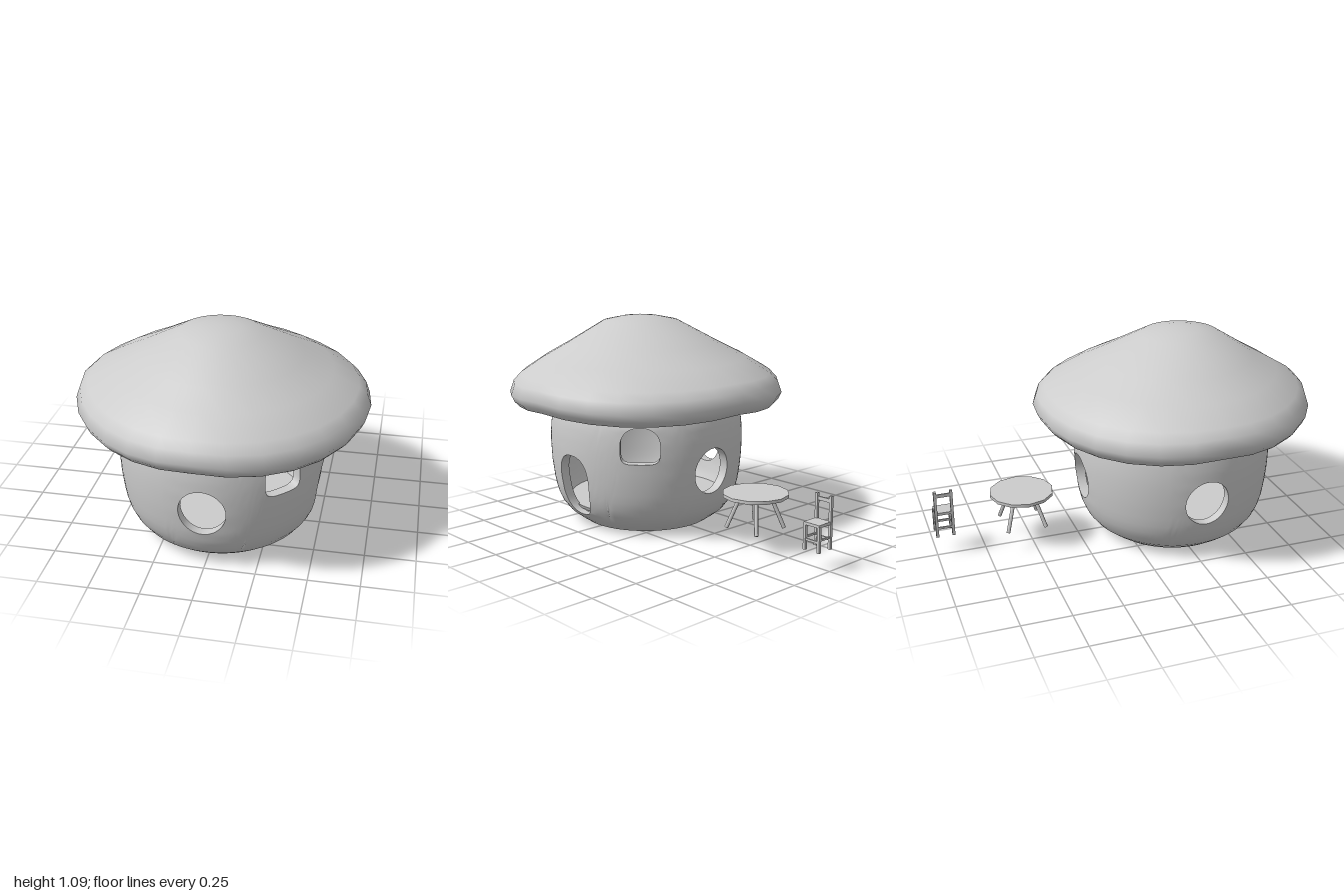
import * as THREE from 'three';
import { toCreasedNormals } from 'three/addons/utils/BufferGeometryUtils.js';

const CENTER_Z = 0.275;
const material = new THREE.MeshStandardMaterial({ color: 0xcccccc });
const { lerp, clamp } = THREE.MathUtils;

function add(parent, name, geometry, x = 0, y = 0, z = 0) {
  const mesh = new THREE.Mesh(geometry, material);
  mesh.name = name;
  mesh.position.set(x, y, z);
  parent.add(mesh);
  return mesh;
}

// Creased normals matched at a large scale, so that close vertices stay apart
function crease(geometry, angle) {
  return toCreasedNormals(geometry.scale(100, 100, 100), angle).scale(0.01, 0.01, 0.01);
}

// A straight round bar between two points
function bar(parent, name, from, to, radius) {
  const a = new THREE.Vector3(...from), b = new THREE.Vector3(...to);
  const dir = b.clone().sub(a);
  const mesh = add(parent, name, new THREE.CylinderGeometry(radius, radius, dir.length(), 8));
  mesh.position.copy(a).add(b).multiplyScalar(0.5);
  mesh.quaternion.setFromUnitVectors(new THREE.Vector3(0, 1, 0), dir.normalize());
}

// Wall profile as [height, radius]
const WALL = [[0, 0.345], [0.03, 0.388], [0.06, 0.426], [0.1, 0.458], [0.15, 0.481], [0.21, 0.497], [0.32, 0.511],
  [0.42, 0.516], [0.5, 0.514], [0.57, 0.506], [0.62, 0.491], [0.66, 0.472], [0.7, 0.448], [0.75, 0.41]];
// The pierced band lies between these heights
const LOW = 0.06, HIGH = 0.62;

function outerRadius(y) {
  let k = 1;
  while (k < WALL.length - 1 && WALL[k][0] < y) k++;
  const [y0, r0] = WALL[k - 1], [y1, r1] = WALL[k];
  return lerp(r0, r1, (y - y0) / (y1 - y0));
}
const innerRadius = (y) => outerRadius(y) - Math.min(0.05, 0.004 + y * 0.5);

const onWall = (theta, y, radiusAt) => [radiusAt(y) * Math.sin(theta), y, radiusAt(y) * Math.cos(theta)];
const quad = (out, a, b, c, d) => out.push(...a, ...b, ...c, ...a, ...c, ...d);

// Plain wall, both faces, between two angles through the given heights
function plainWall(out, from, to, columns, heights) {
  for (let i = 0; i < columns; i++) {
    const t0 = lerp(from, to, i / columns), t1 = lerp(from, to, (i + 1) / columns);
    for (let j = 0; j + 1 < heights.length; j++) {
      const corners = (f) => [onWall(t0, heights[j], f), onWall(t1, heights[j], f),
        onWall(t1, heights[j + 1], f), onWall(t0, heights[j + 1], f)];
      quad(out, ...corners(outerRadius));
      quad(out, ...corners(innerRadius).reverse());
    }
  }
}

// Openings: middle height y, half sizes a and b, squareness above and below, taper
const ROUND = { y: 0.33, a: 0.114, b: 0.12, up: 2, down: 2, taper: 0 };
const ARCH = { y: 0.49, a: 0.1, b: 0.092, up: 2.2, down: 5, taper: 0 };
const DOOR = { y: 0.243, a: 0.108, b: 0.163, up: 2.4, down: 3, taper: 0.13 };

// One eighth of the band: rings run from the opening's outline to the panel's edge
function piercedWall(out, angle, hole) {
  const N = 48, M = 8;
  const point = (i, j, radiusAt) => {
    const phi = (i % N) / N * Math.PI * 2;
    const c = Math.cos(phi), s = Math.sin(phi);
    const edgeX = clamp(Math.asin(c) * 4 / Math.PI, -1, 1);
    const edgeY = clamp(Math.asin(s) * 4 / Math.PI, -1, 1);
    const e = 2 / (s < -1e-9 ? hole.down : hole.up);
    const sy = Math.sign(s) * Math.abs(s) ** e;
    const hx = hole.a * Math.sign(c) * Math.abs(c) ** e * (1 + hole.taper * sy);
    const hy = hole.y + hole.b * sy;
    const theta = lerp(Math.asin(hx / radiusAt(hy)), Math.PI / 8 * edgeX, j / M);
    return onWall(angle + theta, lerp(hy, lerp(LOW, HIGH, (1 + edgeY) / 2), j / M), radiusAt);
  };
  for (let i = 0; i < N; i++) {
    for (let j = 0; j < M; j++) {
      const corners = (f) => [point(i, j, f), point(i, j + 1, f), point(i + 1, j + 1, f), point(i + 1, j, f)];
      quad(out, ...corners(outerRadius));
      quad(out, ...corners(innerRadius).reverse());
    }
    // Reveal through the wall's thickness
    quad(out, point(i, 0, outerRadius), point(i + 1, 0, outerRadius),
      point(i + 1, 0, innerRadius), point(i, 0, innerRadius));
  }
}

function createCap() {
  // Hollow underside, rounded rim and sloping crown
  const profile = [[0, 0.735], [0.4, 0.728], [0.48, 0.7], [0.56, 0.664], [0.63, 0.645], [0.683, 0.648],
    [0.708, 0.675], [0.725, 0.71], [0.705, 0.765], [0.665, 0.8], [0.54, 0.868], [0.4, 0.942],
    [0.2, 1.055], [0.1, 1.076], [0, 1.087]].map(([r, y]) => new THREE.Vector2(r, y));
  const cap = new THREE.LatheGeometry(profile, 28);
  const p = cap.attributes.position;
  for (let i = 0; i < p.count; i++) {
    const x = p.getX(i), y = p.getY(i), z = p.getZ(i);
    const angle = Math.atan2(x, z);
    // Flatter towards one front corner, drooping on the diagonals, crown leaning forward
    const flat = 1 - 0.033 * Math.max(0, Math.cos(angle + Math.PI / 4)) ** 4;
    const droop = 0.022 * Math.abs(Math.sin(2 * angle)) * clamp((0.85 - y) / 0.1, 0, 1);
    const lean = 0.045 * Math.max(0, (y - 0.8) / 0.28);
    p.setXYZ(i, x * flat, y - droop * Math.min(1, Math.hypot(x, z) / 0.6), z * flat + lean);
  }
  cap.computeVertexNormals();
  return crease(cap.deleteAttribute('uv'), 1.2);
}

function createHouse() {
  const house = new THREE.Group();
  house.name = 'mushroomHouse';
  house.position.z = CENTER_Z;

  // Hollow wall: bottom and top bands, then panels in turn from the front towards the left side
  const positions = [];
  plainWall(positions, 0, Math.PI * 2, 96, [0, 0.03, LOW]);
  plainWall(positions, 0, Math.PI * 2, 96, [HIGH, 0.66, 0.7, 0.75]);
  const bandHeights = Array.from({ length: 13 }, (_, k) => lerp(LOW, HIGH, k / 12));
  [ROUND, ARCH, DOOR, ARCH, ROUND, null, ROUND, null].forEach((hole, k) => {
    const angle = k * Math.PI / 4;
    if (hole) piercedWall(positions, angle, hole);
    else plainWall(positions, angle - Math.PI / 8, angle + Math.PI / 8, 12, bandHeights);
  });
  const wall = new THREE.BufferGeometry();
  wall.setAttribute('position', new THREE.Float32BufferAttribute(positions, 3));
  add(house, 'wall', crease(wall, 0.9));

  // Floor raised inside the wall
  add(house, 'floor', new THREE.CylinderGeometry(0.425, 0.415, 0.02, 32), 0, 0.103, 0);
  add(house, 'roofCap', createCap());
  return house;
}

function createTable() {
  const table = new THREE.Group();
  table.name = 'table';
  table.position.set(0.015, 0, -0.545);
  add(table, 'tableTop', crease(new THREE.CylinderGeometry(0.165, 0.165, 0.016, 12), 0.8), 0, 0.28, 0);
  // Four splayed legs
  for (const sx of [-1, 1]) for (const sz of [-1, 1]) {
    bar(table, 'tableLeg', [sx * 0.05, 0.275, sz * 0.05], [sx * 0.1, 0.108, sz * 0.1], 0.01);
  }
  return table;
}

function createChair() {
  const chair = new THREE.Group();
  chair.name = 'chair';
  chair.position.set(0.035, 0, -0.952);
  const box = (name, w, h, d, x, y, z) => add(chair, name, new THREE.BoxGeometry(w, h, d), x, y, z);
  box('seat', 0.088, 0.014, 0.09, 0.004, 0.233, 0);
  for (const s of [-1, 1]) {
    box('backPost', 0.014, 0.255, 0.014, -0.04, 0.234, s * 0.041);
    box('frontLeg', 0.014, 0.125, 0.014, 0.04, 0.1675, s * 0.041);
    box('sideRung', 0.075, 0.009, 0.008, 0, 0.165, s * 0.041);
  }
  // Rungs and back slat across the chair
  box('frontRung', 0.008, 0.011, 0.075, 0.04, 0.155, 0);
  box('backRung', 0.008, 0.011, 0.075, -0.04, 0.155, 0);
  box('backSlat', 0.008, 0.018, 0.075, -0.04, 0.337, 0);
  return chair;
}

export function createModel() {
  const model = new THREE.Group();
  model.name = 'mushroomHouseWithFurniture';
  model.add(createHouse(), createTable(), createChair());
  return model;
}
